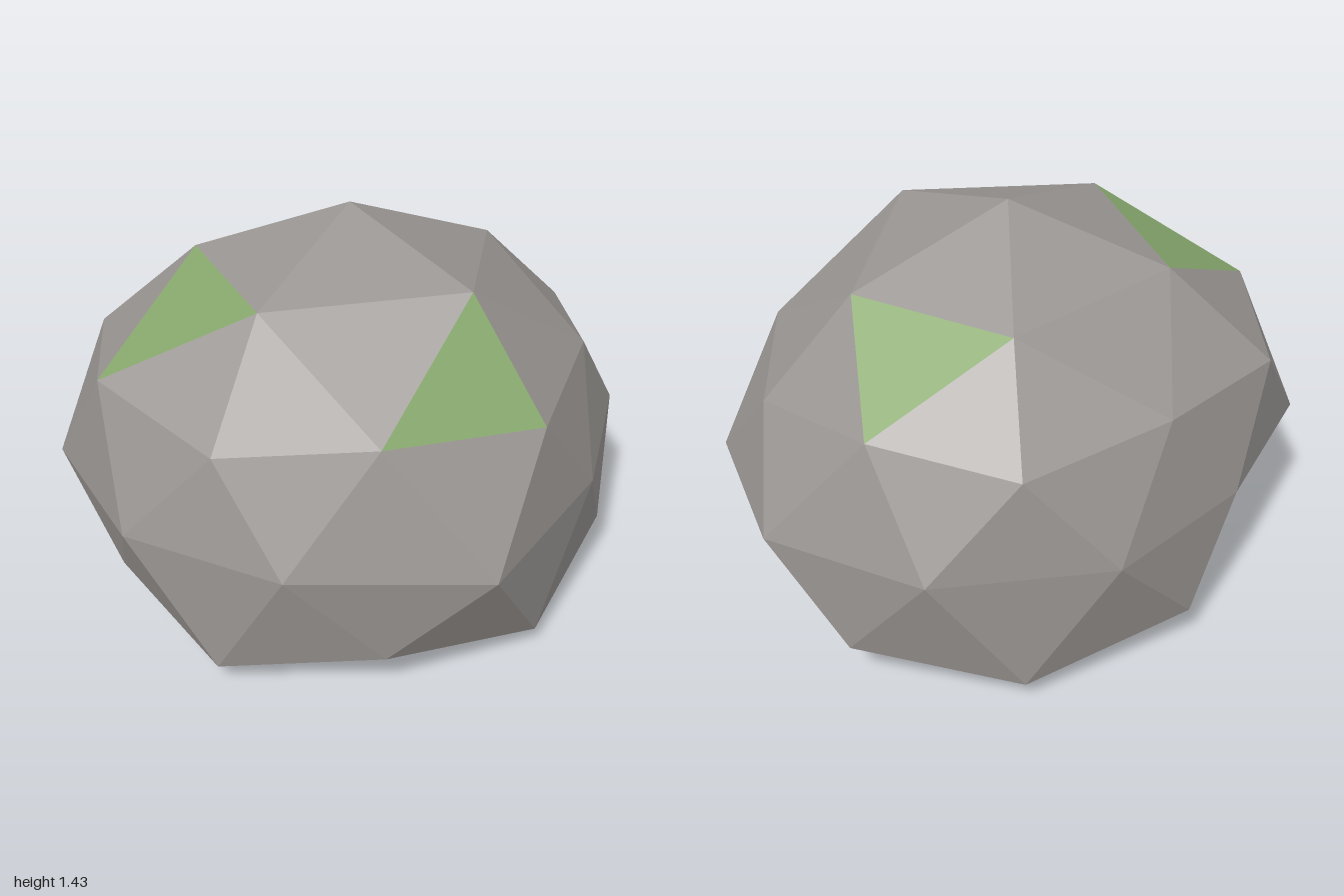
import * as THREE from 'three';

// Rings of a once-subdivided icosahedron, each running from +x round through +z
const top = [0.01, 1.43, -0.08];
const base = [-0.01, 0, -0.09];
const crown = [[0.57, 1.2, -0.09], [0.2, 1.28, 0.43], [-0.47, 1.27, 0.23], [-0.44, 1.23, -0.39], [0.19, 1.19, -0.54]];
const shoulder = [[0.89, 0.87, -0.09], [0.31, 0.91, 0.74], [-0.71, 0.88, 0.38], [-0.74, 0.91, -0.59], [0.3, 0.88, -0.86]];
const shoulderMid = [[0.71, 0.93, 0.36], [-0.27, 0.97, 0.7], [-0.92, 0.97, -0.09], [-0.25, 0.92, -0.79], [0.69, 0.93, -0.54]];
const belt = [[0.98, 0.2], [0.6, 0.635], [0.01, 0.97], [-0.6, 0.665], [-0.97, 0.2],
  [-1, -0.385], [-0.535, -0.77], [0.01, -0.98], [0.61, -0.82], [1, -0.38]].map(([x, z]) => [x, 0.54, z]);
const skirt = [[0.8, 0.18, 0.43], [-0.28, 0.18, 0.77], [-0.9, 0.2, -0.08], [-0.33, 0.16, -0.86], [0.8, 0.18, -0.6]];
const skirtMid = [[0.73, 0.2, -0.08], [0.31, 0.08, 0.77], [-0.76, 0.09, 0.46], [-0.76, 0.17, -0.4], [0.3, 0.09, -0.9]];
const foot = [[0.45, 0, 0.2], [-0.16, 0, 0.31], [-0.57, 0, -0.06], [-0.14, 0, -0.57], [0.45, 0, -0.37]];

function facetMesh(name, triangles, material) {
  const geometry = new THREE.BufferGeometry();
  geometry.setAttribute('position', new THREE.Float32BufferAttribute(triangles.flat(2), 3));
  geometry.computeVertexNormals();
  const mesh = new THREE.Mesh(geometry, material);
  mesh.name = name;
  return mesh;
}

export function createModel() {
  const stone = new THREE.MeshStandardMaterial({ color: 0x999592 });
  stone.name = 'stoneGrey';
  const moss = new THREE.MeshStandardMaterial({ color: 0x87a86d });
  moss.name = 'mossGreen';

  const rock = [];
  const mossy = [];
  for (let k = 0; k < 5; k++) {
    const n = (k + 1) % 5;
    const A = crown[k], An = crown[n], B = shoulder[k], Bn = shoulder[n], C = shoulderMid[k];
    const E = belt[2 * k], E1 = belt[2 * k + 1], En = belt[2 * n];
    const D = skirt[k], Dn = skirt[n], F = skirtMid[n], G = foot[k], Gn = foot[n];

    // Cap, with three mossy facets
    rock.push([top, An, A], [An, Bn, C]);
    (k === 2 || k === 4 ? mossy : rock).push([A, An, C]);
    (k === 1 ? mossy : rock).push([A, C, B]);
    // Sides
    rock.push([B, C, E], [C, Bn, E1], [C, E1, E], [E, E1, D]);
    rock.push([Bn, En, E1], [E1, En, F], [E1, F, D], [En, Dn, F]);
    // Underside
    rock.push([D, F, G], [F, Dn, Gn], [F, Gn, G], [G, Gn, base]);
  }

  const group = new THREE.Group();
  group.name = 'mossyBoulder';
  group.add(facetMesh('boulder', rock, stone), facetMesh('mossPatches', mossy, moss));
  return group;
}
